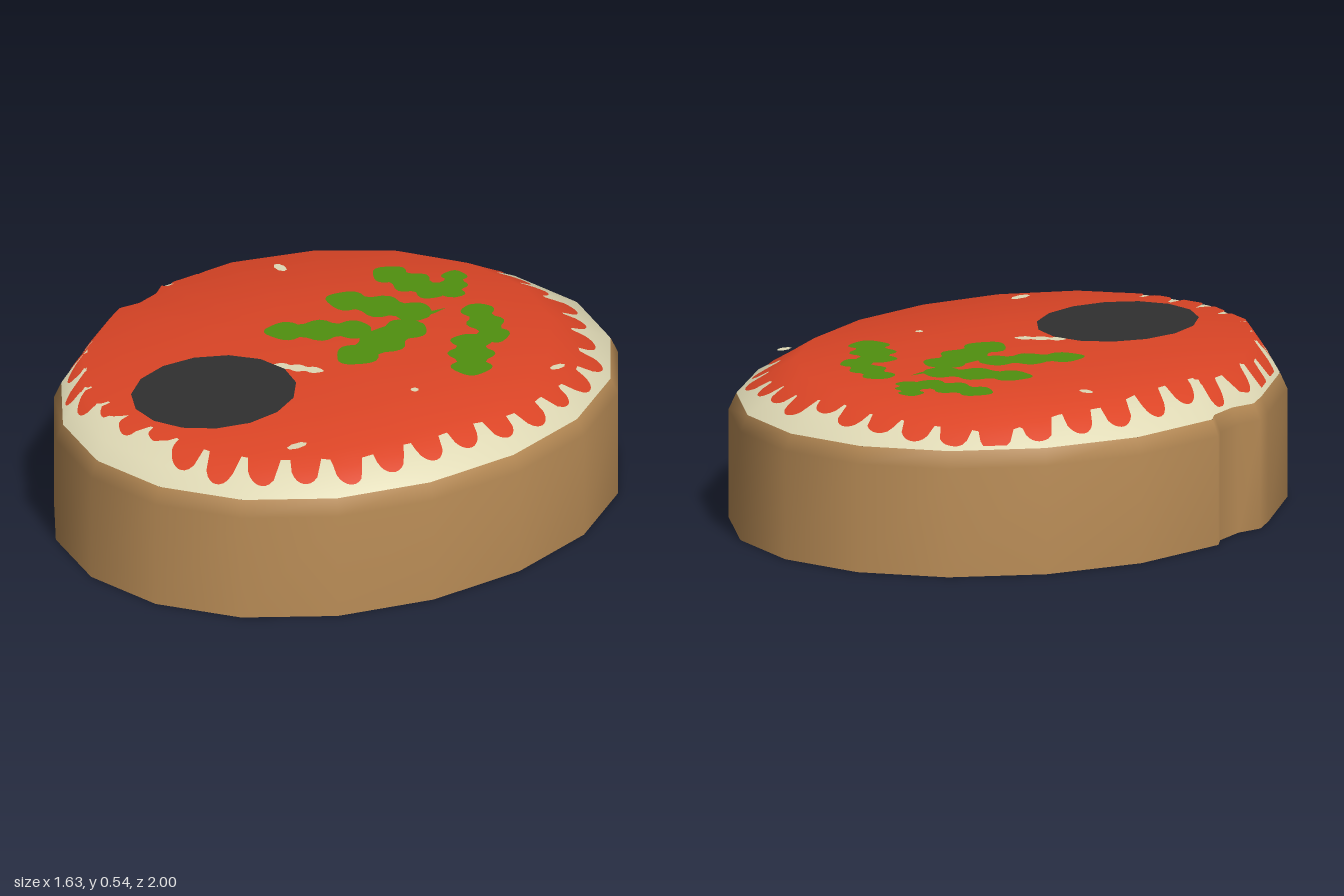
import * as THREE from 'three';

const material = (name, color) => {
  const m = new THREE.MeshStandardMaterial({ color });
  m.name = name;
  return m;
};

// points around an oval; the rule turns an angle, clockwise from the back, into [x, z]
const around = (count, rule) => Array.from({ length: count }, (_, i) => rule((i / count) * Math.PI * 2, i));

// eighteen-sided outline of the slice, with a small notch cut into the right side
const outline = around(18, (a) => [0.828 * Math.sin(a) + 0.03 * Math.abs(Math.cos(a)), -Math.cos(a)]);
outline.splice(13, 0, [-0.75, 0.42], [-0.74, 0.33], [-0.77, 0.22]);
const rim = outline.map(([x, z]) => [x * 0.97, z * 0.975]);
const plateau = outline.map(([x, z]) => [x * 0.82 - 0.02, z * 0.83 + 0.06]);
const RIM_Y = 0.425;

let seed = 7;
const random = () => (seed = (seed * 16807) % 2147483647) / 2147483647;

// centres of the uneven scallops along the sauce edge
const scallops = around(37, (a) => {
  const k = 1 + 0.07 * Math.sin(2 * a) ** 2 + (random() - 0.5) * 0.05;
  return [0.69 * k * Math.sin(a), -0.84 * k * Math.cos(a)];
});
const sauceBase = scallops.map(([x, z]) => [x * 0.98, z * 0.98]);

// distance from the centre to a polygon along an angle
function polygonRadius(poly, angle) {
  const dx = Math.cos(angle), dz = Math.sin(angle);
  let best = 0;
  poly.forEach(([ax, az], i) => {
    const [bx, bz] = poly[(i + 1) % poly.length];
    const ex = bx - ax, ez = bz - az, det = dx * ez - dz * ex;
    if (Math.abs(det) < 1e-9) return;
    const t = (ax * ez - az * ex) / det, s = (ax * dz - az * dx) / det;
    if (s >= -1e-6 && s <= 1 + 1e-6) best = Math.max(best, t);
  });
  return best;
}

const rimRadius = (angle) => polygonRadius(rim, angle);

function sauceRadius(angle) {
  let best = polygonRadius(sauceBase, angle);
  const r = 0.05;
  for (const [x, z] of scallops) {
    const along = x * Math.cos(angle) + z * Math.sin(angle);
    const off = x * x + z * z - along * along;
    if (along > 0 && off < r * r) best = Math.max(best, along + Math.sqrt(r * r - off));
  }
  return Math.min(best, rimRadius(angle) * 0.99);
}

const topY = (x) => 0.532 - 0.006 * x;

// top layer: flat in the middle, sloping down outside the plateau
function layer(radiusAt, lift) {
  const N = 480, rings = 6, pos = [], nor = [], idx = [];
  for (let j = 0; j <= N; j++) {
    const a = (j / N) * Math.PI * 2, c = Math.cos(a), s = Math.sin(a);
    const edge = radiusAt(a), outer = rimRadius(a);
    const inner = Math.min(polygonRadius(plateau, a), outer * 0.99);
    const flat = Math.min(inner, edge);
    for (const r of [0, flat * 0.5, flat * 0.85, flat, (flat + edge) / 2, edge]) {
      const t = Math.max(0, (r - inner) / (outer - inner));
      const tilt = 0.25 * Math.min(1, r / inner) ** 2 + 0.55 * t;
      pos.push(r * c, topY(r * c) * (1 - t) + RIM_Y * t + lift, r * s);
      nor.push(...new THREE.Vector3(c * tilt, 1, s * tilt).normalize().toArray());
    }
  }
  for (let j = 0; j < N; j++) {
    for (let k = 0; k < rings - 1; k++) {
      const a = j * rings + k, b = a + rings;
      idx.push(a, b + 1, a + 1);
      if (k > 0) idx.push(a, b, b + 1);
    }
  }
  const g = new THREE.BufferGeometry();
  g.setAttribute('position', new THREE.Float32BufferAttribute(pos, 3));
  g.setAttribute('normal', new THREE.Float32BufferAttribute(nor, 3));
  g.setIndex(idx);
  return g;
}

// crust wall from three stacked outlines
function wall() {
  const n = outline.length, pos = [], idx = [];
  [[outline, 0], [outline, 0.37], [rim, RIM_Y]].forEach(([loop, y]) => loop.forEach(([x, z]) => pos.push(x, y, z)));
  for (let k = 0; k < 2; k++) {
    for (let i = 0; i < n; i++) {
      const a = k * n + i, b = k * n + ((i + 1) % n);
      idx.push(b, a, a + n, b, a + n, b + n);
    }
  }
  const g = new THREE.BufferGeometry();
  g.setAttribute('position', new THREE.Float32BufferAttribute(pos, 3));
  g.setIndex(idx);
  g.computeVertexNormals();
  return g;
}

// thin topping lying on the sauce
function topping(poly, lift) {
  const g = new THREE.ShapeGeometry(new THREE.Shape(poly.map(([x, z]) => new THREE.Vector2(x, -z))));
  g.rotateX(-Math.PI / 2);
  const p = g.attributes.position;
  for (let i = 0; i < p.count; i++) p.setY(i, topY(p.getX(i)) + lift);
  return g;
}

const oval = (x, z, w, d, sides) => around(sides, (a) => [x + w * Math.sin(a), z - d * Math.cos(a)]);

// leaf outline from its base to its tip, with three lobes on each side
function leafOutline(x0, z0, x1, z1, width) {
  const length = Math.hypot(x1 - x0, z1 - z0);
  const ux = (x1 - x0) / length, uz = (z1 - z0) / length;
  return around(48, (a) => {
    const t = (1 - Math.cos(a)) / 2;
    const lobes = 0.5 + 0.5 * Math.abs(Math.sin(3 * Math.PI * t));
    const w = width * Math.sign(Math.sin(a)) * Math.sqrt(Math.abs(Math.sin(a))) * lobes;
    const along = t * length - Math.abs(w) * 0.15;
    return [x0 + ux * along - uz * w, z0 + uz * along + ux * w];
  });
}

export function createModel() {
  const crust = material('crust brown', 0xb98c56);
  const cream = material('cream', 0xdfd9b5);
  const sauce = material('sauce red', 0xdc4526);
  const herb = material('herb green', 0x50900f);
  const olive = material('olive black', 0x303030);

  const model = new THREE.Group();
  model.name = 'toppedBread';
  const add = (name, geometry, mat, parent = model) => {
    const mesh = new THREE.Mesh(geometry, mat);
    mesh.name = name;
    parent.add(mesh);
  };

  // bread
  add('crustWall', wall(), crust);
  const base = new THREE.ShapeGeometry(new THREE.Shape(outline.map(([x, z]) => new THREE.Vector2(x, z))));
  base.rotateX(Math.PI / 2);
  add('crustBase', base, crust);
  add('creamTop', layer(rimRadius, 0), cream);
  add('sauceLayer', layer(sauceRadius, 0.005), sauce);

  // gaps in the sauce: x, z, half width, half depth
  const gaps = [[0.54, -0.53, 0.016, 0.03], [0.5, 0.5, 0.018, 0.04], [0.4, -0.05, 0.014, 0.014],
    [0.1, 0.4, 0.012, 0.02], [-0.56, -0.19, 0.03, 0.018]];
  for (const gap of gaps) add('sauceGap', topping(oval(...gap, 7), 0.007), cream);
  add('sauceGap', topping(leafOutline(-0.01, 0.23, 0.12, 0.12, 0.025), 0.007), cream);

  // olive slice
  add('oliveSlice', topping(oval(0.035, 0.505, 0.248, 0.287, 15), 0.009), olive);

  // herb sprig: base x, base z, tip x, tip z, half width of each leaf
  const sprig = new THREE.Group();
  sprig.name = 'herbSprig';
  model.add(sprig);
  const leaves = [
    [-0.09, -0.52, -0.37, -0.44, 0.075],
    [-0.06, -0.53, -0.21, -0.65, 0.05],
    [0.02, -0.56, 0.29, -0.47, 0.065],
    [0.19, -0.43, 0.43, -0.26, 0.08],
    [0, -0.4, -0.3, -0.19, 0.08],
    [-0.03, -0.18, -0.22, 0.12, 0.075],
    [0.02, -0.34, 0.11, 0.04, 0.085],
  ];
  for (const leaf of leaves) add('leaf', topping(leafOutline(...leaf), 0.008), herb, sprig);
  add('stem', topping(oval(-0.01, -0.3, 0.012, 0.17, 8), 0.008), herb, sprig);

  return model;
}
